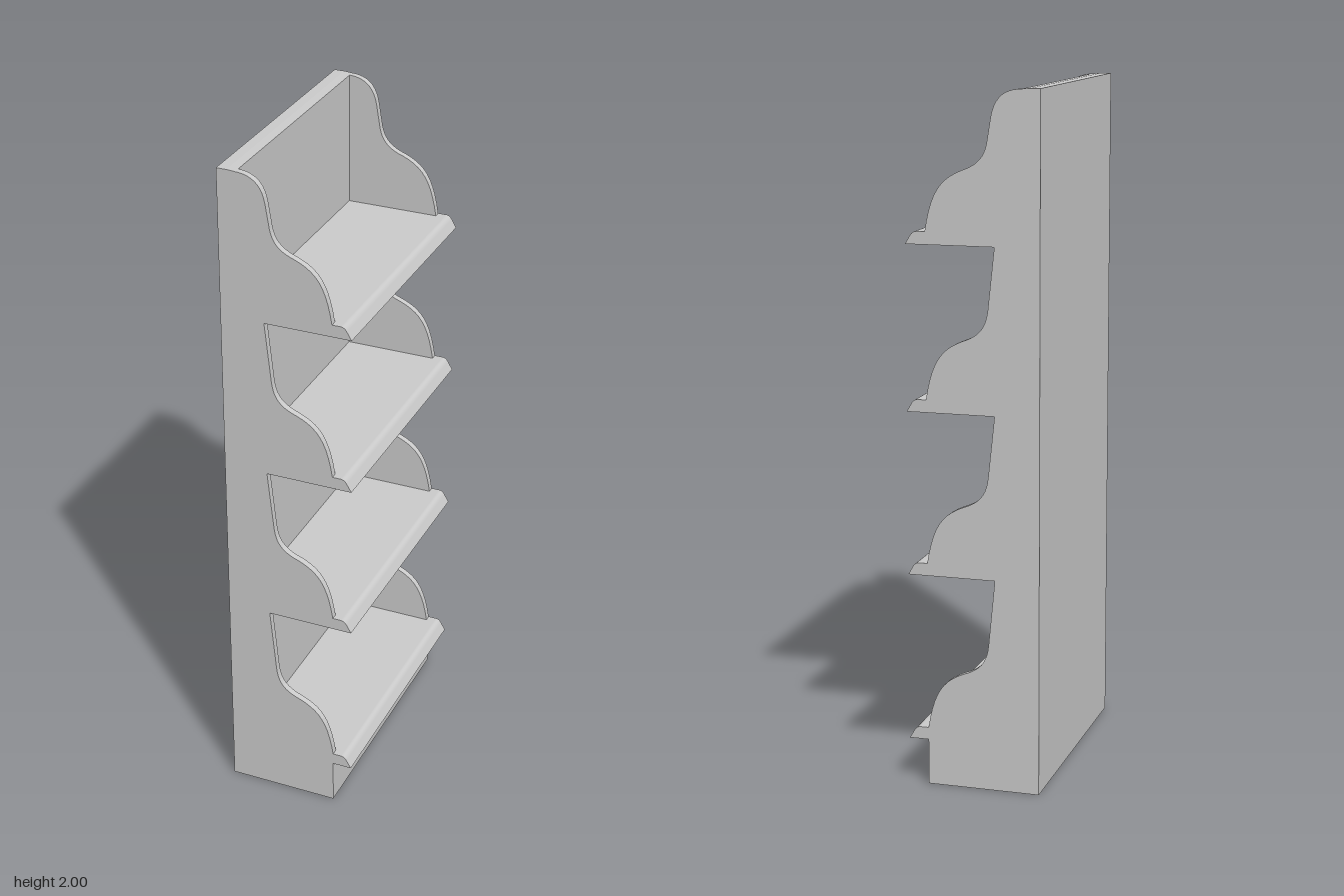
import * as THREE from 'three';

const BACK = -0.195, INNER = -0.14, FRONT = 0.135, NOTCH = -0.065;
const HALF = 0.39, PANEL = 0.02, THICK = 0.036;
const shelves = [0.134, 0.624, 1.097, 1.569]; // underside heights

const material = new THREE.MeshStandardMaterial({ color: 0xcccccc });

function add(group, name, geometry) {
  const mesh = new THREE.Mesh(geometry, material);
  mesh.name = name;
  group.add(mesh);
  return mesh;
}

// Box from its limits in x and y, centred on z
function slab(x0, x1, y0, y1, depth) {
  return new THREE.BoxGeometry(x1 - x0, y1 - y0, depth)
    .translate((x0 + x1) / 2, (y0 + y1) / 2, 0);
}

// Profile in x and y, extruded along z and centred
function extrude(shape, depth) {
  return new THREE.ExtrudeGeometry(shape, { depth, bevelEnabled: false, curveSegments: 10 })
    .translate(0, 0, -depth / 2);
}

function polygon(points) {
  return new THREE.Shape(points.map(([x, y]) => new THREE.Vector2(x, y)));
}

// Scalloped side outline, one ogee above each shelf with a notch under the next
function sideShape() {
  const s = new THREE.Shape();
  s.moveTo(INNER, shelves[0]);
  shelves.forEach((bottom, i) => {
    const t = bottom + THICK;
    if (i > 0) s.lineTo(NOTCH, bottom);
    s.lineTo(FRONT, bottom);
    s.lineTo(FRONT, t);
    s.bezierCurveTo(0.118, t + 0.11, 0.09, t + 0.145, 0.03, t + 0.17);
    s.bezierCurveTo(-0.02, t + 0.187, -0.04, t + 0.21, -0.046, t + 0.26);
  });
  s.lineTo(-0.055, 1.92);
  s.bezierCurveTo(-0.065, 1.98, -0.1, 1.997, INNER, 1.998);
  s.closePath();
  return s;
}

export function createModel() {
  const group = new THREE.Group();
  group.name = 'shelfUnit';

  // Back board, with a slightly eased top front edge
  add(group, 'backPanel', extrude(polygon([
    [BACK, 0], [INNER, 0], [INNER, 1.998], [-0.165, 2], [BACK, 2],
  ]), HALF * 2));

  add(group, 'plinth', slab(INNER, FRONT, 0, shelves[0], HALF * 2));

  // Scalloped sides
  for (const side of [1, -1]) {
    const panel = add(group, side > 0 ? 'leftSide' : 'rightSide', extrude(sideShape(), PANEL));
    panel.position.z = side * (HALF - PANEL / 2);
  }

  shelves.forEach((y, i) => {
    const unit = new THREE.Group();
    unit.name = 'shelf' + (i + 1);
    unit.position.y = y;
    group.add(unit);

    add(unit, 'board', slab(INNER, FRONT, 0, THICK, (HALF - PANEL) * 2));

    // Moulded nosing across the full width
    const nose = new THREE.Shape();
    nose.moveTo(FRONT, 0);
    nose.lineTo(0.192, 0);
    nose.lineTo(0.178, 0.024);
    nose.quadraticCurveTo(0.171, THICK, 0.16, THICK);
    nose.lineTo(FRONT, THICK);
    nose.closePath();
    add(unit, 'nosing', extrude(nose, HALF * 2));

    // T-shaped bracket under each raised shelf
    if (i > 0) {
      add(unit, 'bracketFlange', slab(INNER, 0.17, -0.008, 0, 0.076));
      add(unit, 'bracketWeb', extrude(polygon([
        [INNER, -0.068], [0.14, -0.028], [0.165, -0.008], [INNER, -0.008],
      ]), 0.008));
    }
  });

  return group;
}
